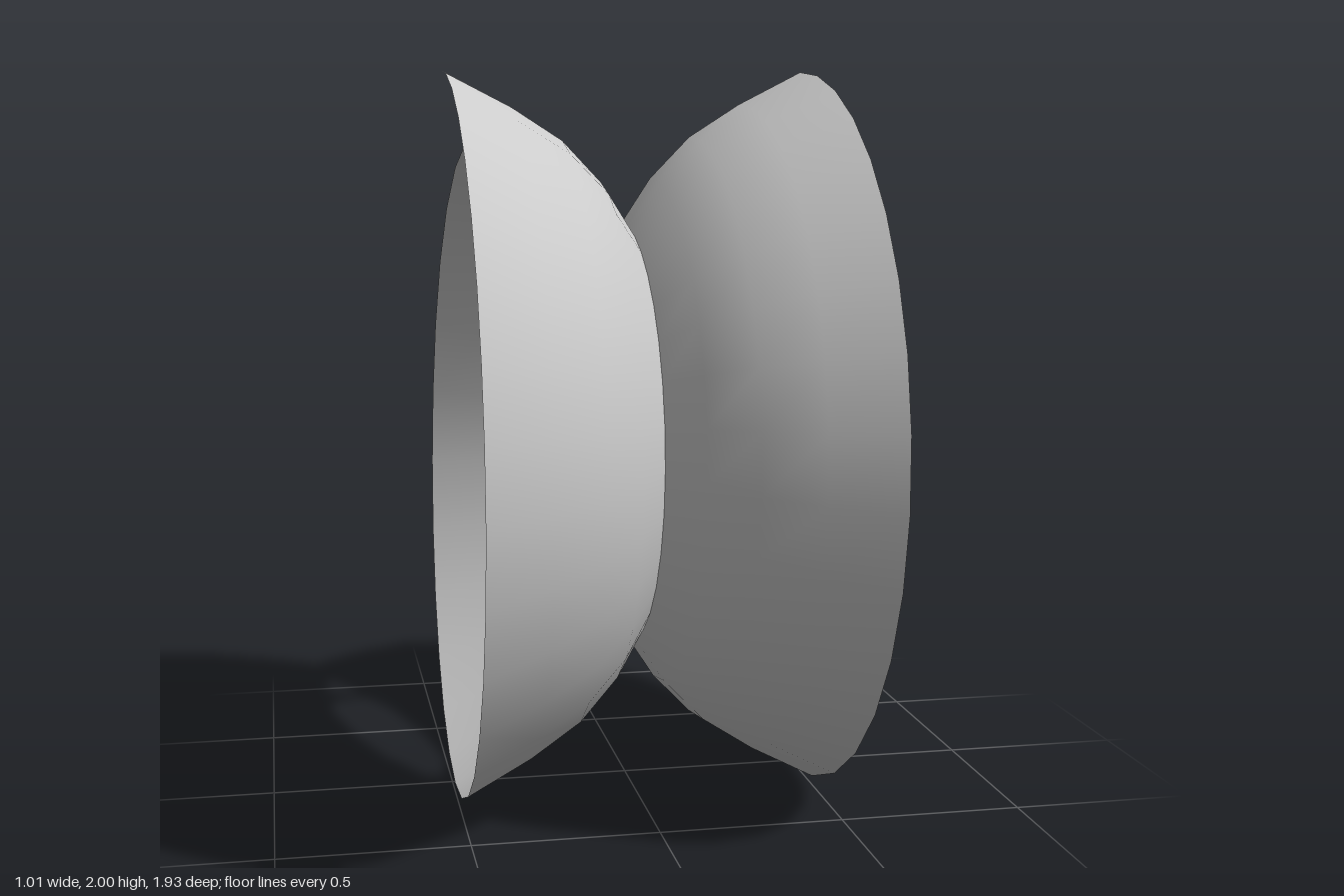
import * as THREE from 'three';

const STEPS = 50;                 // segments along two full turns
const CENTRE_Y = 0.99, CENTRE_Z = -0.03;
const START = THREE.MathUtils.degToRad(-2.5);
const TILT = THREE.MathUtils.degToRad(7);

// Per quarter turn: radius of the inner crease, and scale of the flared section
const radii = [0.59, 0.58, 0.58, 0.56, 0.5, 0.44, 0.39, 0.32, 0.29];
const scales = [1, 1, 0.976, 0.905, 0.786, 0.62, 0.43, 0.25, 0.08];
const spiral = new THREE.SplineCurve(radii.map((r, i) => new THREE.Vector2(r, scales[i])));

// Half of the cross-section: sideways offset, outward height
const section = [[0, 0], [0.08, 0.125], [0.19, 0.24], [0.33, 0.33], [0.505, 0.42]];

// One half of the rolled sheet, on the side given by the sign
function flareGeometry(side) {
  const positions = [], indices = [], n = section.length;
  for (let i = 0; i <= STEPS; i++) {
    const t = i / STEPS;
    const turn = 0.66 * t + 0.34 * t * t;      // steps widen towards the inner end
    const { x: radius, y: scale } = spiral.getPoint(turn);
    const angle = START + turn * Math.PI * 4;
    const lean = angle + TILT;
    for (const [w, h] of section) {
      positions.push(
        side * w * scale,
        CENTRE_Y + radius * Math.cos(angle) + h * scale * Math.cos(lean),
        CENTRE_Z + radius * Math.sin(angle) + h * scale * Math.sin(lean)
      );
    }
  }
  for (let i = 0; i < STEPS; i++) {
    for (let j = 0; j < n - 1; j++) {
      const a = i * n + j, b = a + n, c = b + 1, d = a + 1;
      if (side > 0) indices.push(a, b, d, b, c, d);
      else indices.push(a, d, b, b, d, c);
    }
  }
  const geometry = new THREE.BufferGeometry();
  geometry.setAttribute('position', new THREE.Float32BufferAttribute(positions, 3));
  geometry.setIndex(indices);
  geometry.computeVertexNormals();
  return geometry;
}

export function createModel() {
  const group = new THREE.Group();
  group.name = 'spiralScroll';
  const material = new THREE.MeshStandardMaterial({ color: 0xcccccc, side: THREE.DoubleSide });
  // Separate halves keep the centre crease sharp
  for (const [name, side] of [['leftFlare', 1], ['rightFlare', -1]]) {
    const mesh = new THREE.Mesh(flareGeometry(side), material);
    mesh.name = name;
    group.add(mesh);
  }
  return group;
}
